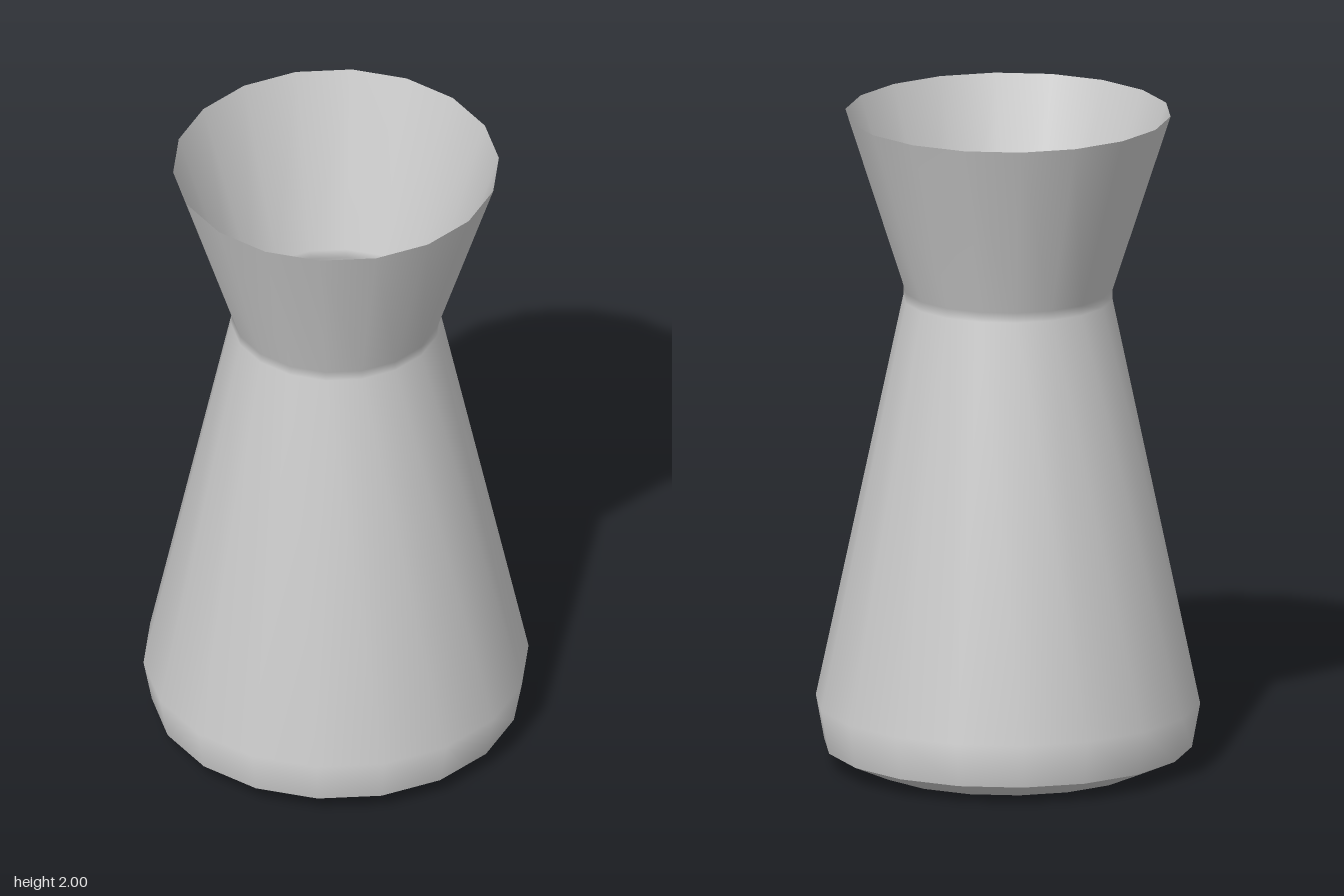
import * as THREE from 'three';

const SIDES = 18;

export function createModel() {
  const group = new THREE.Group();
  group.name = 'carafe';
  const material = new THREE.MeshStandardMaterial({ color: 0xcccccc, side: THREE.DoubleSide });

  // Thin turned surface from [radius, height] pairs, listed from the bottom up
  function turned(name, profile) {
    const points = profile.map(([r, y]) => new THREE.Vector2(r, y));
    const mesh = new THREE.Mesh(new THREE.LatheGeometry(points, SIDES), material);
    mesh.name = name;
    group.add(mesh);
  }

  // Closed base with a shallow chamfer; kept separate for a sharp lower edge
  turned('base', [[0, 0], [0.43, 0], [0.553, 0.055]]);

  // Tapered body, narrow neck and open flared funnel
  turned('bodyAndFunnel', [
    [0.553, 0.055],
    [0.578, 0.19],
    [0.315, 1.43],
    [0.314, 1.46],
    [0.489, 2],
  ]);

  return group;
}
